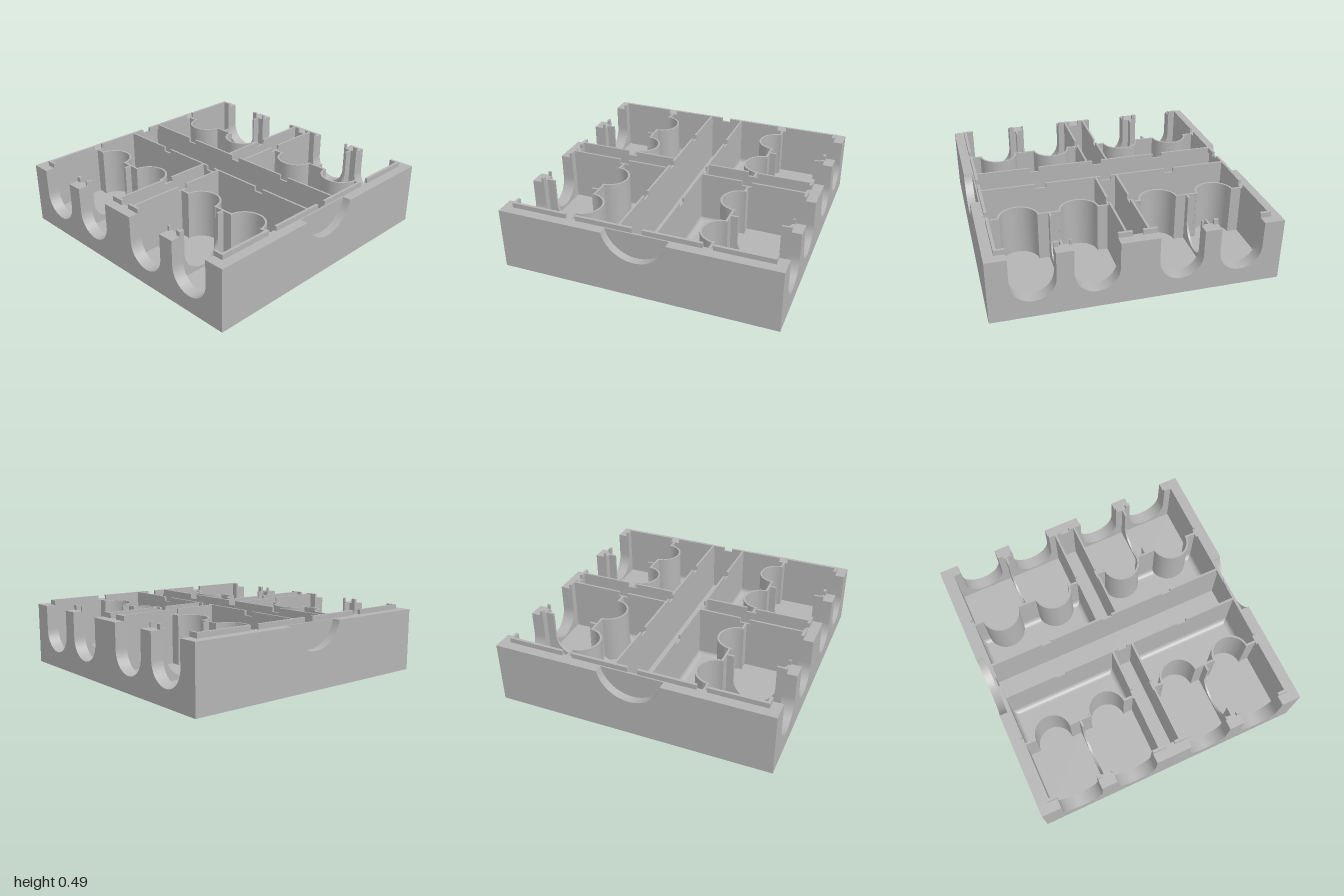
import * as THREE from 'three';
import { toCreasedNormals } from 'three/addons/utils/BufferGeometryUtils.js';

const FLOOR = 0.1, RIM = 0.455, LIP = 0.49;

export function createModel() {
  const root = new THREE.Group();
  root.name = 'compartmentTray';
  const grey = new THREE.MeshStandardMaterial({ color: 0xb4b4b4 });
  grey.name = 'plain grey';

  const add = (parent, name, geometry) => {
    const mesh = new THREE.Mesh(geometry, grey);
    mesh.name = name;
    parent.add(mesh);
    return mesh;
  };
  // box given by its limits on each axis
  const box = (parent, name, x0, x1, y0, y1, z0, z1) => {
    const g = new THREE.BoxGeometry(x1 - x0, y1 - y0, z1 - z0);
    g.translate((x0 + x1) / 2, (y0 + y1) / 2, (z0 + z1) / 2);
    return add(parent, name, g);
  };
  const extrude = (shape, depth) => toCreasedNormals(
    new THREE.ExtrudeGeometry(shape, { depth, bevelEnabled: false, curveSegments: 28 }), 0.5);

  // upright wall outline with round-bottomed slots cut from its top edge
  const slottedWall = (a, b, slots, r, centreY) => {
    const s = new THREE.Shape();
    s.moveTo(a, FLOOR);
    s.lineTo(b, FLOOR);
    s.lineTo(b, RIM);
    for (const c of [...slots].reverse()) {
      const up = centreY > RIM ? Math.asin((centreY - RIM) / r) : 0;
      s.lineTo(c + r * Math.cos(up), RIM);
      s.absarc(c, centreY, r, -up, -Math.PI + up, true);
      s.lineTo(c - r * Math.cos(up), RIM);
    }
    s.lineTo(a, RIM);
    s.closePath();
    return s;
  };

  box(root, 'base', -1, 1, 0, FLOOR, -1, 1);

  // front and back walls with four cable openings each
  const openings = [-0.705, -0.285, 0.285, 0.705];
  for (const z of [0.91, -1]) {
    add(root, z > 0 ? 'frontWall' : 'backWall',
      extrude(slottedWall(-1, 1, openings, 0.152, 0.272), 0.09)).position.z = z;
  }

  // side walls: outer skin with a round knockout recess, plus inner skin
  for (const s of [1, -1]) {
    const name = s > 0 ? 'left' : 'right';
    const skin = extrude(slottedWall(-0.91, 0.91, [0], 0.233, 0.503), 0.06);
    skin.rotateY(s * Math.PI / 2);
    add(root, name + 'OuterWall', skin).position.x = s * 0.94;
    const inner = (x, z0, z1) => box(root, name + 'InnerWall',
      Math.min(s * x, s * 0.94), Math.max(s * x, s * 0.94), FLOOR, RIM, z0, z1);
    inner(0.91, -0.91, -0.125);
    inner(0.925, -0.125, 0.125);
    inner(0.91, 0.125, 0.91);
  }

  // thin walls of the cross-shaped channel
  for (const z of [0.1325, -0.1325]) box(root, 'longChannelWall', -0.915, 0.915, FLOOR, RIM, z - 0.0075, z + 0.0075);
  for (const sx of [1, -1]) for (const sz of [1, -1]) {
    const x = sx * 0.0775, z = sz * 0.525;
    box(root, 'shortChannelWall', x - 0.0075, x + 0.0075, FLOOR, RIM, z - 0.385, z + 0.385);
  }

  // raised locating lips, mirrored into each quarter
  const lips = new THREE.Group();
  lips.name = 'lips';
  root.add(lips);
  const lipRuns = [
    ...[[0.035, 0.133], [0.437, 0.45], [0.52, 0.553], [0.857, 0.93]].map(([a, b]) => [a, b, 0.91, 0.93]),
    ...[[0.035, 0.45], [0.52, 0.91]].map(([a, b]) => [0.91, 0.93, a, b]),
    ...[[0.035, 0.45], [0.52, 0.91]].map(([a, b]) => [a, b, 0.125, 0.14]),
    ...[[0.14, 0.45], [0.52, 0.91]].map(([a, b]) => [0.07, 0.085, a, b]),
  ];
  for (const sx of [1, -1]) for (const sz of [1, -1]) for (const [x0, x1, z0, z1] of lipRuns) {
    const xs = [sx * x0, sx * x1].sort((a, b) => a - b);
    const zs = [sz * z0, sz * z1].sort((a, b) => a - b);
    box(lips, 'lip', xs[0], xs[1], RIM, LIP, zs[0], zs[1]);
  }

  // half-round socket wall, standing on the floor
  const ring = new THREE.Shape();
  ring.absarc(0, 0, 0.142, 0, Math.PI, false);
  ring.absarc(0, 0, 0.128, Math.PI, 0, true);
  ring.closePath();
  const socket = extrude(ring, RIM - FLOOR);
  socket.rotateX(-Math.PI / 2);

  // concave strip along floor edges: runs along x, wall on the -z side
  const R = 0.04;
  const cove = length => {
    const s = new THREE.Shape();
    s.moveTo(0, 0);
    s.lineTo(R, 0);
    s.absarc(R, R, R, -Math.PI / 2, -Math.PI, true);
    s.closePath();
    const g = extrude(s, length);
    g.translate(0, 0, -length / 2);
    g.rotateY(-Math.PI / 2);
    return g;
  };

  // notched divider between the two cells of a quarter
  const divider = extrude(slottedWall(0.5, 0.91, [0.7], 0.15, 0.272), 0.015);
  divider.rotateY(-Math.PI / 2);
  divider.translate(0.0075, 0, 0);

  // one quarter: two cells, their sockets and a wiring chamber
  const quarter = new THREE.Group();
  quarter.name = 'quarter';
  add(quarter, 'cellDivider', divider);
  for (const x of [-0.21, 0.21]) add(quarter, 'socket', socket).position.set(x, FLOOR, 0.502);
  for (const [a, b] of [[-0.415, -0.348], [-0.072, 0.072], [0.348, 0.415]]) {
    box(quarter, 'partition', a, b, FLOOR, RIM, 0.485, 0.5);
    const c = add(quarter, 'partitionCove', cove(b - a));
    c.position.set((a + b) / 2, FLOOR, 0.485);
    c.rotation.y = Math.PI;
  }
  add(quarter, 'channelCove', cove(0.82)).position.set(0, FLOOR, 0.14);
  for (const s of [1, -1]) {
    const c = add(quarter, 'endCove', cove(0.345));
    c.position.set(s * 0.412, FLOOR, 0.3125);
    c.rotation.y = -s * Math.PI / 2;
  }
  for (const x of [0.495, -0.495]) for (const turn of [0, Math.PI]) {
    const q = quarter.clone();
    q.position.x = x;
    q.rotation.y = turn;
    root.add(q);
  }
  return root;
}
